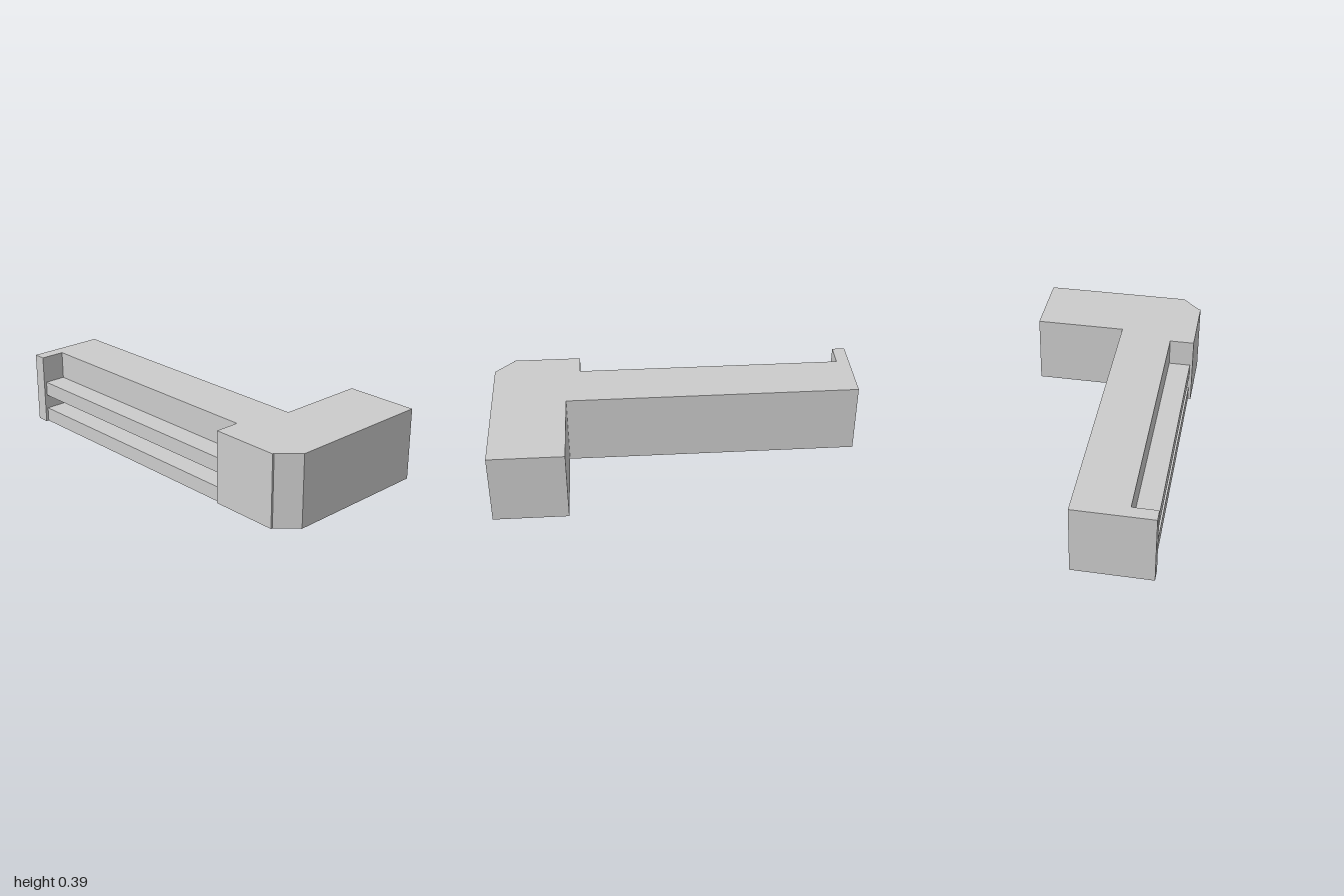
import * as THREE from 'three';

export function createModel() {
  const group = new THREE.Group();
  const material = new THREE.MeshStandardMaterial({ color: 0xcccccc, flatShading: true });
  const height = 0.393;
  const recess = { left: -0.93, right: 0.525, back: 0.325, front: 0.445 };

  // L-shaped counter body: plan outline as [x, z], extruded upwards
  const outline = [
    [-1, 0.035], [0.6, 0.035], [0.6, -0.46], [1, -0.46],
    [1, 0.35], [0.9, 0.45], [0.9, 0.46],
    [recess.right, 0.46], [recess.right, recess.back],
    [recess.left, recess.back], [recess.left, 0.46], [-1, 0.46],
  ];
  const shape = new THREE.Shape(outline.map(([x, z]) => new THREE.Vector2(x, -z)));
  const bodyGeometry = new THREE.ExtrudeGeometry(shape, { depth: height, bevelEnabled: false });
  bodyGeometry.rotateX(-Math.PI / 2);
  const body = new THREE.Mesh(bodyGeometry, material);
  body.name = 'counterBody';
  group.add(body);

  // Two shelves filling the front recess, with a gap between them
  const shelfHeight = 0.08;
  const width = recess.right - recess.left;
  const depth = recess.front - recess.back;
  [['lowerShelf', 0], ['upperShelf', 0.16]].forEach(([name, base]) => {
    const shelf = new THREE.Mesh(new THREE.BoxGeometry(width, shelfHeight, depth), material);
    shelf.name = name;
    shelf.position.set(
      (recess.left + recess.right) / 2,
      base + shelfHeight / 2,
      (recess.back + recess.front) / 2
    );
    group.add(shelf);
  });

  return group;
}
